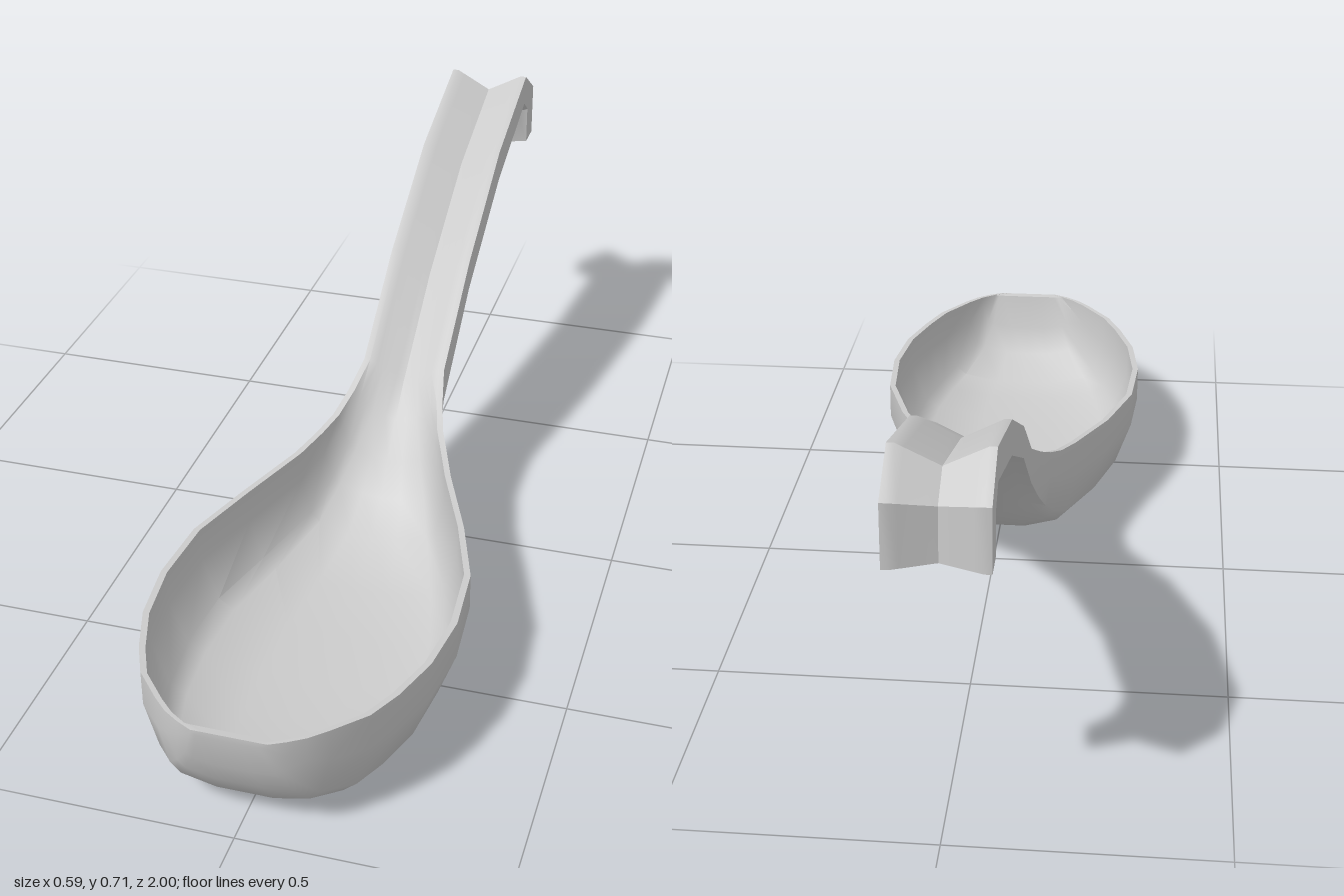
import * as THREE from 'three';
import { toCreasedNormals } from 'three/addons/utils/BufferGeometryUtils.js';

// Stations from bowl tip to hook:
// z, half width, rim height, outer depth, inner depth, handle blend, depth direction (z, y)
const stations = [
  [1.0, 0.07, 0.235, 0.012, 0, 0],
  [0.985, 0.1, 0.235, 0.085, 0.002, 0],
  [0.965, 0.13, 0.234, 0.135, 0.08, 0],
  [0.935, 0.16, 0.232, 0.182, 0.14, 0],
  [0.87, 0.215, 0.226, 0.206, 0.187, 0],
  [0.8, 0.247, 0.222, 0.211, 0.195, 0],
  [0.7, 0.28, 0.22, 0.217, 0.203, 0],
  [0.57, 0.296, 0.218, 0.218, 0.205, 0],
  [0.42, 0.285, 0.218, 0.218, 0.205, 0],
  [0.27, 0.235, 0.22, 0.217, 0.202, 0],
  [0.12, 0.17, 0.233, 0.213, 0.185, 0],
  [0.05, 0.143, 0.247, 0.187, 0.145, 0.1],
  [0, 0.122, 0.265, 0.17, 0.1, 0.3],
  [-0.06, 0.105, 0.295, 0.152, 0.06, 0.65],
  [-0.13, 0.09, 0.335, 0.122, 0.04, 1],
  [-0.35, 0.09, 0.49, 0.105, 0.04, 1],
  [-0.63, 0.09, 0.635, 0.108, 0.04, 1],
  [-0.905, 0.09, 0.715, 0.1, 0.04, 1, 0.1, -1],
  [-1, 0.09, 0.655, 0.11, 0.038, 1, 0.87, -0.5],
  [-1, 0.09, 0.535, 0.095, 0.03, 1, 1, 0],
];

// Half profiles from rim to centre line: [fraction of width, fraction of depth]
const bowlProfile = [[1, 0], [1, 0.36], [0.88, 0.8], [0.76, 0.91], [0.34, 1], [0, 1]];
const handleOuter = [[1, 0], [1, 0.3], [1, 0.65], [0.75, 0.74], [0.35, 0.9], [0, 1]];
const handleInner = [[1, 0], [0.8, 0.2], [0.6, 0.4], [0.4, 0.6], [0.2, 0.8], [0, 1]];
const LIP = 0.013;

// Full left-to-right profile of one skin at a station
function skin([z, , y, , , blend, dz = 0, dy = -1], width, depth, handle) {
  const half = bowlProfile.map(([x, d], i) => {
    const fx = THREE.MathUtils.lerp(x, handle[i][0], blend);
    const fd = THREE.MathUtils.lerp(d, handle[i][1], blend) * depth;
    return [fx * width, y + dy * fd, z + dz * fd];
  });
  const mirrored = half.slice(0, -1).reverse().map(([x, py, pz]) => [-x, py, pz]);
  return [...half, ...mirrored];
}

export function createModel() {
  // Closed cross-sections: outer skin one way, inner skin back
  const loops = stations.map((s) => [
    ...skin(s, s[1], s[3], handleOuter),
    ...skin(s, s[1] - LIP, s[4], handleInner).reverse(),
  ]);
  const n = loops[0].length;
  const index = [];
  const quad = (a, b, c, d) => index.push(a, b, c, b, d, c);

  for (let s = 0; s < loops.length - 1; s++) {
    for (let i = 0; i < n; i++) {
      const j = (i + 1) % n;
      quad(s * n + i, s * n + j, (s + 1) * n + i, (s + 1) * n + j);
    }
  }
  // End faces at the bowl tip and the hook
  const last = (loops.length - 1) * n;
  for (let i = 0; i < n / 2 - 1; i++) {
    quad(i, n - 1 - i, i + 1, n - 2 - i);
    quad(last + i, last + i + 1, last + n - 1 - i, last + n - 2 - i);
  }

  const geometry = new THREE.BufferGeometry();
  geometry.setAttribute('position', new THREE.Float32BufferAttribute(loops.flat(2), 3));
  geometry.setIndex(index);

  const spoon = new THREE.Mesh(
    toCreasedNormals(geometry, 0.7),
    new THREE.MeshStandardMaterial({ color: 0xcccccc }),
  );
  spoon.name = 'soupSpoon';
  const group = new THREE.Group();
  group.name = 'spoon';
  group.add(spoon);
  return group;
}
